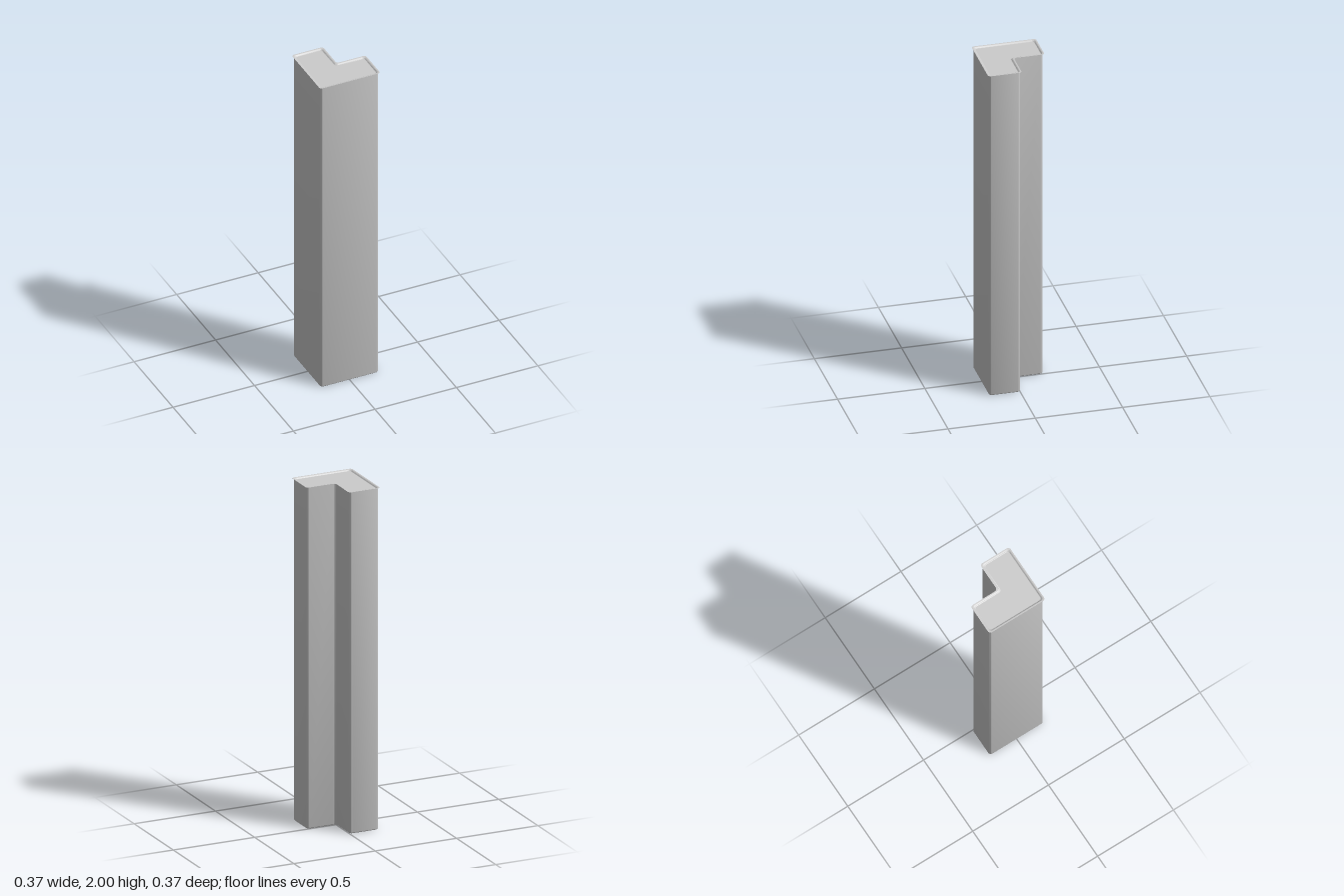
import * as THREE from 'three';
import { toCreasedNormals } from 'three/addons/utils/BufferGeometryUtils.js';

const HALF = 0.185, NOTCH = 0.008, RADIUS = 0.016, STEPS = 6;

// L-shaped outline with rounded corners, drawn in from the lip edge by "inset"
function outline(inset) {
  const a = HALF - inset, n = NOTCH - inset;
  const corners = [[-a, a], [a, a], [a, -n], [n, -n], [n, -a], [-a, -a]]
    .map(([x, z]) => new THREE.Vector2(x, z));
  const points = [];
  corners.forEach((c, i) => {
    const toPrev = corners[(i + 5) % 6].clone().sub(c).setLength(RADIUS);
    const toNext = corners[(i + 1) % 6].clone().sub(c).setLength(RADIUS);
    for (let k = 0; k <= STEPS; k++) {
      const t = (k / STEPS) * Math.PI / 2;
      points.push(c.clone()
        .addScaledVector(toPrev, 1 - Math.sin(t))
        .addScaledVector(toNext, 1 - Math.cos(t)));
    }
  });
  return points;
}

// Skin through a stack of outlines, each given as [inset, y]
function loft(sections) {
  const positions = [], index = [];
  let count = 0;
  for (const [inset, y] of sections) {
    const ring = outline(inset);
    count = ring.length;
    for (const p of ring) positions.push(p.x, y, p.y);
  }
  for (let i = 0; i < sections.length - 1; i++) {
    for (let j = 0; j < count; j++) {
      const a = i * count + j, b = i * count + (j + 1) % count;
      index.push(a, b, b + count, a, b + count, a + count);
    }
  }
  const geometry = new THREE.BufferGeometry();
  geometry.setAttribute('position', new THREE.Float32BufferAttribute(positions, 3));
  geometry.setIndex(index);
  return toCreasedNormals(geometry, 0.6);
}

// Flat L-shaped cap facing up (dir 1) or down (dir -1)
function cap(inset, y, dir) {
  const shape = new THREE.Shape(outline(inset).map(p => new THREE.Vector2(p.x, -dir * p.y)));
  return new THREE.ShapeGeometry(shape).rotateX(-dir * Math.PI / 2).translate(0, y, 0);
}

export function createModel() {
  const model = new THREE.Group();
  model.name = 'cornerColumn';
  const material = new THREE.MeshStandardMaterial({ color: 0xcccccc, side: THREE.DoubleSide });
  const add = (name, geometry) => {
    const mesh = new THREE.Mesh(geometry, material);
    mesh.name = name;
    model.add(mesh);
  };

  // Column walls with a small rounded bottom edge
  const wall = 0.007, fillet = 0.008;
  const sections = [];
  for (let k = 0; k <= 4; k++) {
    const t = (k / 4) * Math.PI / 2;
    sections.push([wall + fillet * (1 - Math.sin(t)), fillet * (1 - Math.cos(t))]);
  }
  sections.push([wall, 1.999]);
  add('columnWalls', loft(sections));
  add('bottomPanel', cap(wall + fillet, 0, -1));

  // Thin lip round the top, stepping down to the top panel
  add('topLip', loft([[wall, 1.999], [0, 1.999], [0, 2], [0.006, 2],
    [0.009, 1.999], [0.012, 1.996], [0.014, 1.993], [0.0175, 1.992]]));
  add('topPanel', cap(0.0175, 1.992, 1));

  return model;
}
